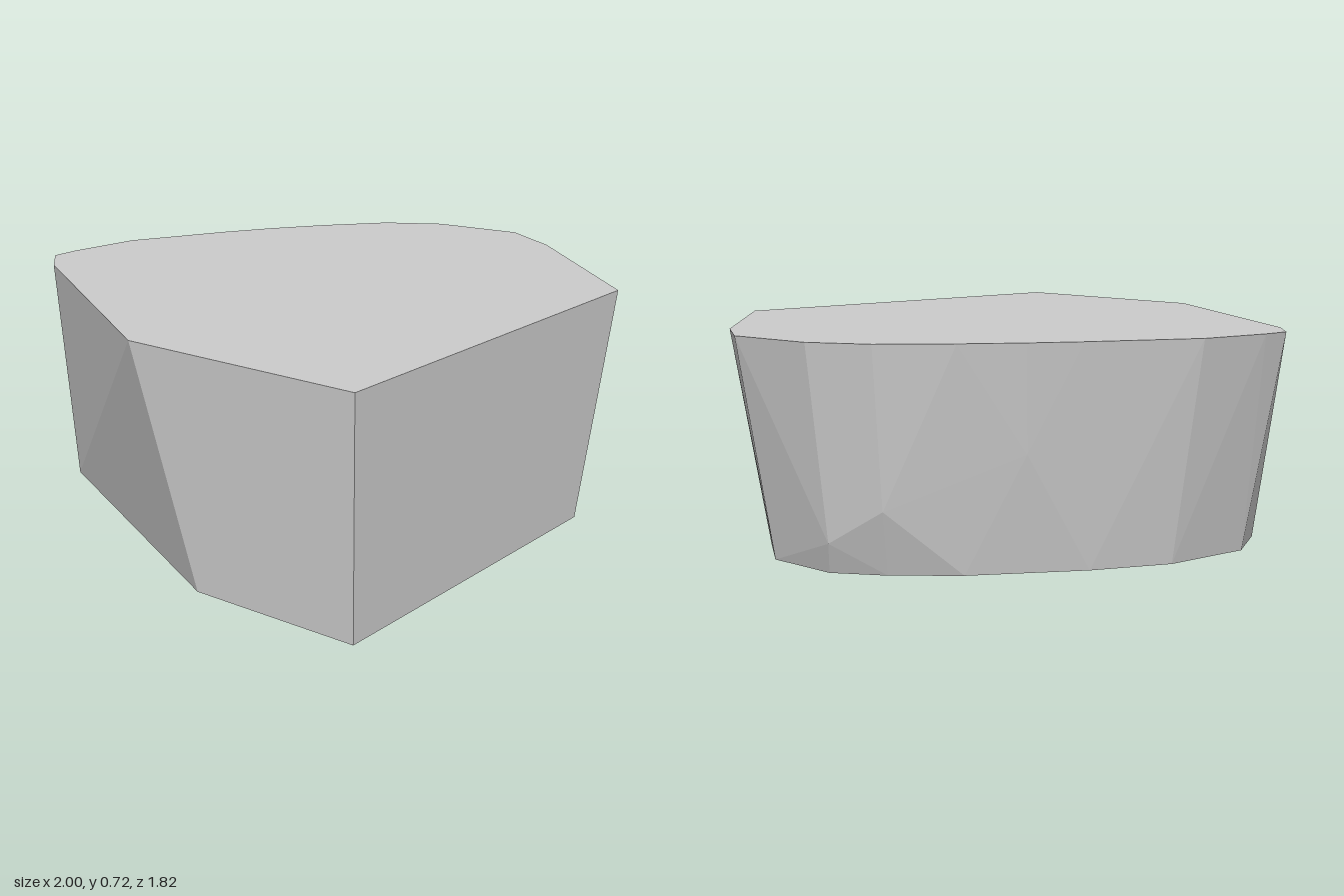
import * as THREE from 'three';
import { ConvexGeometry } from 'three/addons/geometries/ConvexGeometry.js';

const HEIGHT = 0.72;

// Outlines as [x, z], running from the square corner around the rounded side
const topOutline = [
  [-1, 0.91], [0.42, 0.91], [0.88, 0.37], [1, 0.16], [0.96, -0.15], [0.85, -0.33], [0.66, -0.49],
  [0.49, -0.61], [0.34, -0.7], [0, -0.875], [-0.25, -0.91], [-0.35, -0.91], [-0.46, -0.8], [-1, 0.09],
];
const baseOutline = [
  [-1, 0.91], [0.2, 0.91], [0.77, 0.32], [0.88, 0.14], [0.86, -0.12], [0.75, -0.27],
  [0.58, -0.43], [0.25, -0.64], [0, -0.755], [-0.31, -0.78], [-0.5, -0.67], [-1, 0.34],
];
// Slight bulges on the worn side, as [x, y, z]
const bulges = [[0.8, 0.21, -0.31], [0.885, 0.1, -0.15], [0.46, 0.38, -0.58]];

export function createModel() {
  const group = new THREE.Group();
  group.name = 'stoneBlock';

  const stone = new THREE.MeshStandardMaterial({ color: 0xcccccc });
  stone.name = 'stone grey';

  // Faceted block with a flat top overhanging a smaller base
  const ring = (outline, y) => outline.map(([x, z]) => new THREE.Vector3(x, y, z));
  const points = [
    ...ring(topOutline, HEIGHT),
    ...ring(baseOutline, 0),
    ...bulges.map((p) => new THREE.Vector3(...p)),
  ];
  const block = new THREE.Mesh(new ConvexGeometry(points), stone);
  block.name = 'block';
  group.add(block);
  return group;
}
